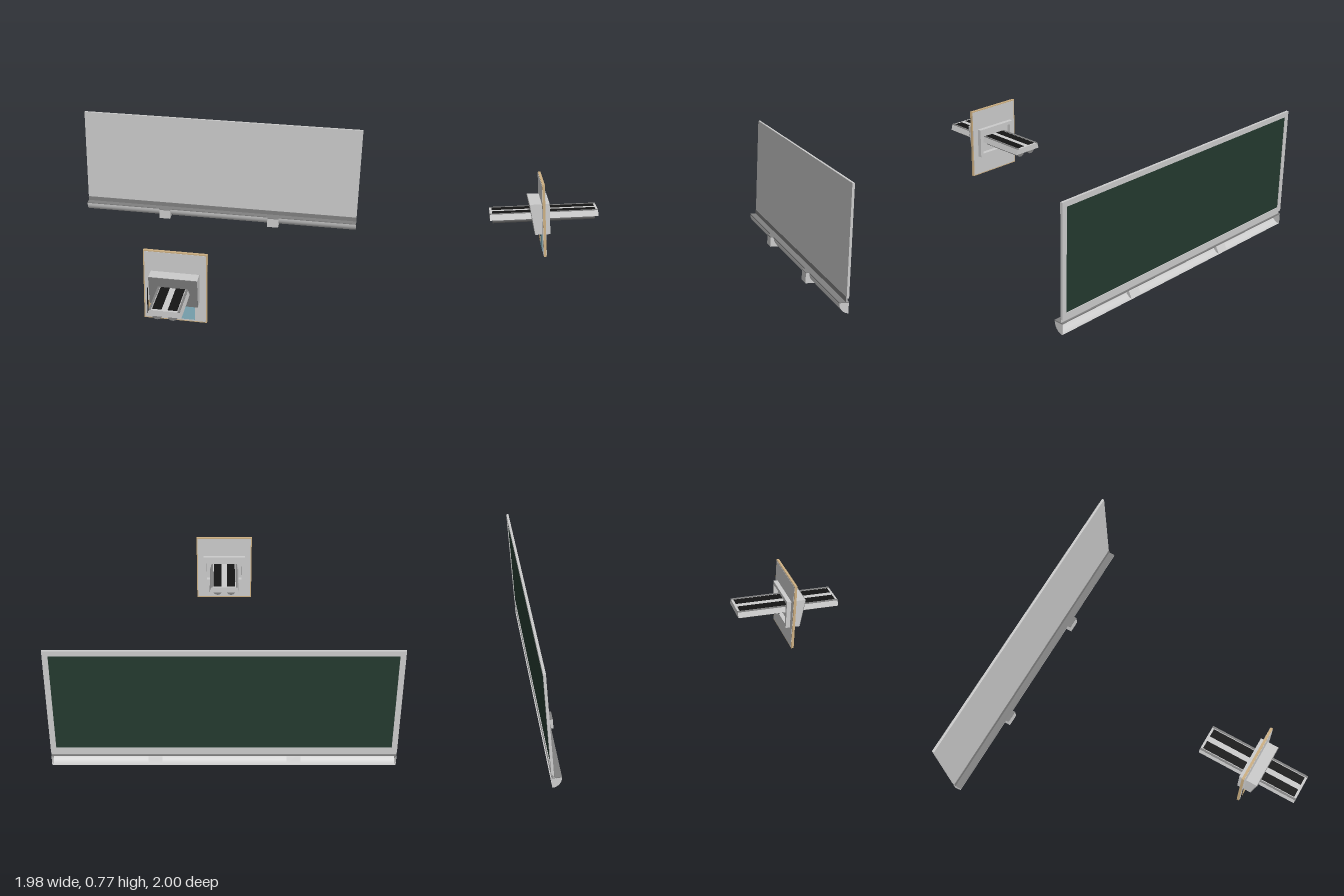
import * as THREE from 'three';

const mat = (name, color, side = THREE.FrontSide) => {
  const m = new THREE.MeshStandardMaterial({ color, side });
  m.name = name;
  return m;
};

export function createModel() {
  const light = mat('lightGrey', 0xcccccc, THREE.DoubleSide);
  const dark = mat('midGrey', 0x808080);
  const green = mat('boardGreen', 0x24392f);
  const wood = mat('wood', 0xcdb083);
  const blue = mat('paperBlue', 0x86b4c2);
  const black = mat('black', 0x141414);

  const model = new THREE.Group();
  const add = (parent, name, geometry, material) => {
    const mesh = new THREE.Mesh(geometry, material);
    mesh.name = name;
    parent.add(mesh);
    return mesh;
  };
  const group = (name) => {
    const g = new THREE.Group();
    g.name = name;
    model.add(g);
    return g;
  };
  // Box given by its limits on each axis
  const box = (parent, name, material, x0, x1, y0, y1, z0, z1) => {
    const mesh = add(parent, name, new THREE.BoxGeometry(x1 - x0, y1 - y0, z1 - z0), material);
    mesh.position.set((x0 + x1) / 2, (y0 + y1) / 2, (z0 + z1) / 2);
    return mesh;
  };
  const rect = (Type, x0, x1, y0, y1) => {
    const points = [[x0, y0], [x1, y0], [x1, y1], [x0, y1]];
    return new Type(points.map(([x, y]) => new THREE.Vector2(x, y)));
  };
  // Rectangular ring extruded along z
  const ring = (parent, name, material, [x0, x1, y0, y1], w, z0, z1) => {
    const shape = rect(THREE.Shape, x0, x1, y0, y1);
    shape.holes.push(rect(THREE.Path, x0 + w, x1 - w, y0 + w, y1 - w));
    const geometry = new THREE.ExtrudeGeometry(shape, { depth: z1 - z0, bevelEnabled: false });
    return add(parent, name, geometry.translate(0, 0, z0), material);
  };
  // Profile of [z, y] points extruded along x
  const alongX = (points, x0, x1) => {
    const shape = new THREE.Shape(points.map(([z, y]) => new THREE.Vector2(-z, y)));
    const geometry = new THREE.ExtrudeGeometry(shape, { depth: x1 - x0, bevelEnabled: false });
    return geometry.rotateY(Math.PI / 2).translate(x0, 0, 0);
  };

  // Chalkboard: framed writing panel facing the rear
  const board = group('chalkboard');
  const W = 0.988;
  ring(board, 'boardFrame', light, [-W, W, 0.09, 0.77], 0.032, -1, -0.99);
  box(board, 'writingPanel', green, -W + 0.03, W - 0.03, 0.12, 0.74, -0.996, -0.99);
  box(board, 'boardBacking', light, -W, W, 0.07, 0.77, -0.99, -0.985);
  box(board, 'lowerStrip', dark, -W, W, 0.07, 0.1, -0.985, -0.982);

  // Tray: flat ledge over a curved trough, open at the rear
  const tray = group('chalkTray');
  box(tray, 'trayLedge', dark, -W, W, 0.064, 0.07, -1, -0.942);
  const curve = [];
  for (let i = 0; i <= 12; i++) {
    const a = (i / 12) * Math.PI / 2;
    curve.push([-1 + 0.058 * Math.cos(a), 0.066 - 0.066 * Math.sin(a)]);
  }
  const sheet = new THREE.PlaneGeometry(2 * W, 1, 1, 12);
  const pos = sheet.attributes.position;
  for (let i = 0; i < pos.count; i++) {
    const [z, y] = curve[Math.floor(i / 2)];
    pos.setY(i, y);
    pos.setZ(i, z);
  }
  sheet.computeVertexNormals();
  add(tray, 'trayTrough', sheet, light);
  for (const s of [-1, 1]) {
    const end = alongX([...curve, [-1, 0.066]], -0.002, 0.002);
    add(tray, 'trayEnd', end, light).position.x = s * (W - 0.002);
  }

  // Brackets under the tray
  for (const x of [-0.4, 0.395]) {
    const side = [[-0.92, 0], [-0.92, 0.066], [-0.96, 0.066], [-0.995, 0]];
    add(tray, 'trayBracket', alongX(side, x - 0.04, x + 0.04), light);
    box(tray, 'bracketTop', dark, x - 0.04, x + 0.04, 0.066, 0.07, -0.96, -0.92);
  }

  // Wooden-edged panel with light faces
  const stand = group('displayPanel');
  box(stand, 'panelCore', wood, -0.19, 0.186, 0.178, 0.635, 0.665, 0.681);
  box(stand, 'panelFront', light, -0.183, 0.179, 0.185, 0.628, 0.68, 0.683);
  box(stand, 'panelBack', light, -0.183, 0.179, 0.185, 0.628, 0.663, 0.666);

  // Papers on the front of the panel
  box(stand, 'tanPaper', wood, -0.163, -0.088, 0.2, 0.305, 0.682, 0.686);
  box(stand, 'bluePaper', blue, -0.028, 0.114, 0.195, 0.31, 0.682, 0.686);
  box(stand, 'paperEdge', black, -0.171, -0.165, 0.2, 0.385, 0.682, 0.686);
  box(stand, 'paperFoot', black, -0.171, -0.15, 0.198, 0.203, 0.682, 0.687);
  box(stand, 'paperDivider', black, -0.031, -0.027, 0.2, 0.305, 0.682, 0.687);

  // Housing: slanted dark front, open frame at the rear
  const housing = group('housing');
  const [hx0, hx1] = [-0.145, 0.14];
  add(housing, 'housingBody',
    alongX([[0.682, 0.31], [0.727, 0.31], [0.757, 0.502], [0.682, 0.502]], hx0, hx1), light);
  const front = add(housing, 'housingFront',
    new THREE.BoxGeometry(hx1 - hx0, Math.hypot(0.192, 0.03), 0.004), dark);
  front.position.set((hx0 + hx1) / 2, 0.406, 0.743);
  front.rotation.x = Math.atan2(0.03, 0.192);
  ring(housing, 'housingRearFrame', light, [hx0, hx1, 0.31, 0.502], 0.022, 0.635, 0.665);

  // Long light fixture passing through the housing
  const lamp = group('lightFixture');
  const section = new THREE.Shape([[-0.1, 0.4], [0.095, 0.4], [0.085, 0.437], [-0.09, 0.437]]
    .map(([x, y]) => new THREE.Vector2(x, y)));
  const body = new THREE.ExtrudeGeometry(section, { depth: 0.67, bevelEnabled: false });
  add(lamp, 'fixtureBody', body.translate(0, 0, 0.33), light);
  for (const x of [-0.047, 0.042]) {
    const tube = new THREE.CylinderGeometry(0.03, 0.03, 0.635, 24);
    const mesh = add(lamp, 'lampTube', tube.rotateX(Math.PI / 2), dark);
    mesh.position.set(x, 0.4, 0.667);
    box(lamp, 'topChannel', black, x - 0.027, x + 0.027, 0.436, 0.439, 0.345, 0.985);
  }
  for (const x of [-0.085, 0.08]) {
    box(lamp, 'topRail', dark, x - 0.006, x + 0.006, 0.436, 0.44, 0.33, 1);
  }

  return model;
}
